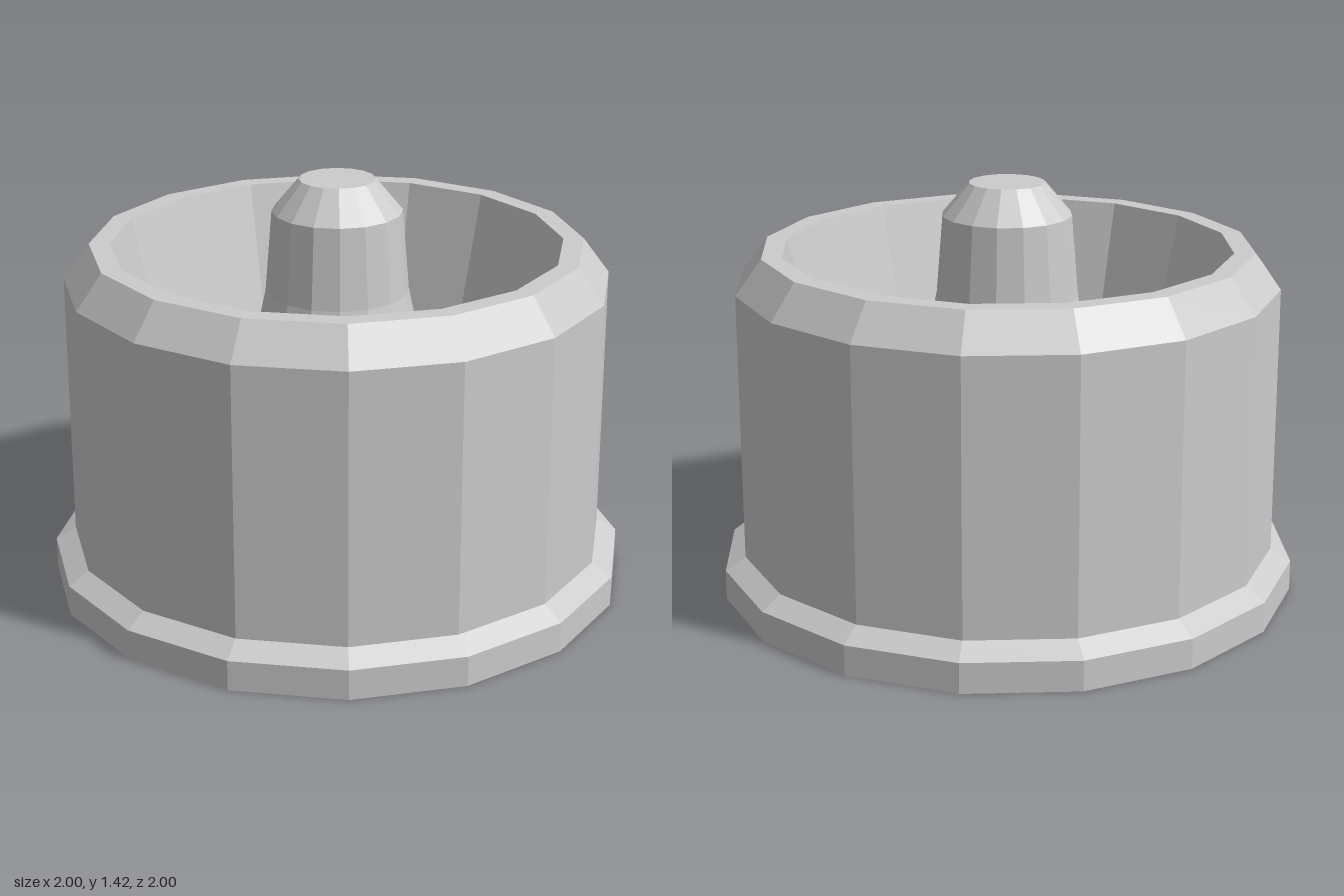
import * as THREE from 'three';

const SIDES = 16;

// Faceted turned part from a list of [radius, height] points, outside first
function turned(name, profile) {
  const points = profile.map(([r, y]) => new THREE.Vector2(r, y));
  const material = new THREE.MeshStandardMaterial({ color: 0xcccccc, flatShading: true });
  const mesh = new THREE.Mesh(new THREE.LatheGeometry(points, SIDES), material);
  mesh.name = name;
  return mesh;
}

export function createModel() {
  const group = new THREE.Group();
  group.name = 'bowlWithPost';

  // Flanged foot with a closed underside
  group.add(turned('foot', [[0, 0], [1, 0], [1, 0.105], [0.93, 0.15]]));

  // Outer wall, bevelled rim and tapering inner wall
  group.add(turned('bowl', [
    [0.93, 0.15], [0.93, 1.08], [0.84, 1.2], [0.77, 1.2], [0.62, 0.58],
  ]));

  // Gently sloped floor of the bowl
  group.add(turned('floor', [[0.62, 0.58], [0.335, 0.61]]));

  // Flared centre post with a chamfered top
  group.add(turned('post', [
    [0.335, 0.61], [0.245, 1.03], [0.222, 1.31], [0.13, 1.42], [0, 1.42],
  ]));

  return group;
}
